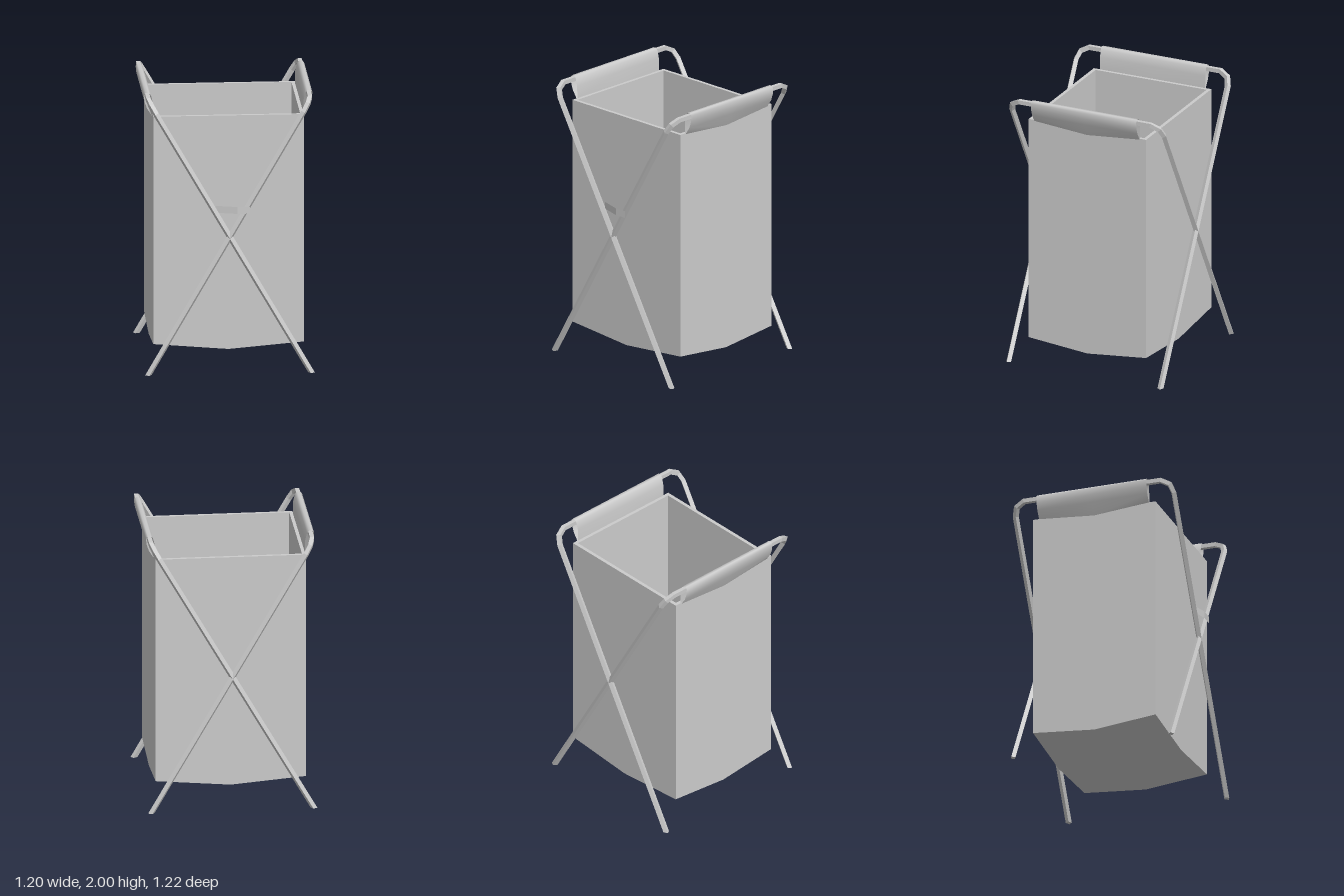
import * as THREE from 'three';

const grey = (flat, side = THREE.FrontSide) =>
  new THREE.MeshStandardMaterial({ color: 0xcccccc, flatShading: flat, side });

// Skin a list of equally long rings of Vector3, closing each ring if asked
function loft(rings, closed) {
  const n = rings[0].length, index = [];
  for (let i = 0; i < rings.length - 1; i++) {
    for (let k = 0; k < (closed ? n : n - 1); k++) {
      const a = i * n + k, b = i * n + (k + 1) % n;
      index.push(a, a + n, b, b, a + n, b + n);
    }
  }
  const g = new THREE.BufferGeometry().setFromPoints(rings.flat());
  g.setIndex(index);
  return g;
}

function part(name, geometry, material) {
  if (material.flatShading) geometry = geometry.toNonIndexed();
  geometry.computeVertexNormals();
  const mesh = new THREE.Mesh(geometry, material);
  mesh.name = name;
  return mesh;
}

// Leaning U-shaped frame: square rod swept up the front leg, over, and down the back leg
function frameGeometry() {
  const foot = new THREE.Vector3(-0.574, 0, 0);
  const lean = Math.atan2(1.142, 1.975), c = Math.cos(lean), s = Math.sin(lean);
  const up = new THREE.Vector3(s, c, 0), normal = new THREE.Vector3(c, -s, 0);
  const half = [[0, 0.59], [1.89, 0.59], [1.945, 0.57], [1.975, 0.51]];
  const path = [...half, ...half.map(([y, z]) => [y, -z]).reverse()]
    .map(([y, z]) => new THREE.Vector2(y / c, z));
  const outs = path.slice(1).map((p, i) => {
    const t = p.clone().sub(path[i]).normalize();
    return new THREE.Vector2(-t.y, t.x);
  });
  const rings = path.map((p, i) => {
    const o1 = outs[Math.max(i - 1, 0)], o2 = outs[Math.min(i, outs.length - 1)];
    const miter = o1.clone().add(o2).divideScalar(1 + o1.dot(o2));
    const end = i === 0 || i === path.length - 1;
    return [0, 1, 2, 3].map(k => {
      const a = lean + Math.PI / 4 + k * Math.PI / 2, r = 0.03 / Math.SQRT2;
      const out = miter.clone().multiplyScalar(r * Math.sin(a)).add(p);
      const v = foot.clone().addScaledVector(up, out.x).addScaledVector(normal, r * Math.cos(a));
      v.z = out.y;
      if (end) v.addScaledVector(up, -v.y / c); // feet cut level with the floor
      return v;
    });
  });
  // cap both feet
  const cap = z => Array.from({ length: 4 }, () => new THREE.Vector3(foot.x, 0, z));
  return loft([cap(0.59), ...rings, cap(-0.59)], true);
}

// Open-topped bag with thick walls and a sagging floor
function bagGeometry() {
  const around = [[1, 0], [1, 1], [0, 1], [-1, 1], [-1, 0], [-1, -1], [0, -1], [1, -1]];
  const ring = (hx, hz, y, sag) => around.map(([x, z]) =>
    new THREE.Vector3(x * hx, y + (sag && x && z ? 0.045 : 0), z * hz));
  return loft([
    ring(0, 0, 0.145, false),
    ring(0.53, 0.457, 0.145, true),
    ring(0.53, 0.457, 1.84, false),
    ring(0.505, 0.432, 1.84, false),
    ring(0.505, 0.432, 0.165, true),
    ring(0, 0, 0.165, false),
  ], true);
}

// Cloth loop over the top bar, hanging lower in the middle
function slingGeometry() {
  const profile = [[0.528, 1.836], [0.53, 1.93], [0.543, 1.982], [0.558, 2], [0.58, 2],
    [0.593, 1.985], [0.589, 1.94], [0.572, 1.89], [0.536, 1.836]];
  return loft([-0.41, 0, 0.41].map(z => profile.map(([x, y], i) => {
    const edge = i === 0 || i === profile.length - 1;
    return new THREE.Vector3(x, y - (edge && z === 0 ? 0.036 : 0), z);
  })), false);
}

// Short ribbon tying the two front legs together
function strapGeometry() {
  const line = [[0.14, 0.612], [0.05, 0.614], [-0.1, 0.57]];
  return loft([1.165, 1.215].map(y => line.map(([x, z]) => new THREE.Vector3(x, y, z))), false);
}

export function createModel() {
  const model = new THREE.Group();
  model.name = 'foldingLaundryHamper';
  model.add(part('bag', bagGeometry(), grey(true)));
  for (const side of [1, -1]) {
    const half = new THREE.Group();
    half.name = side > 0 ? 'leftSide' : 'rightSide';
    half.add(part('crossFrame', frameGeometry(), grey(true)));
    half.add(part('sling', slingGeometry(), grey(false, THREE.DoubleSide)));
    half.scale.x = side;
    model.add(half);
  }
  model.add(part('strap', strapGeometry(), grey(true, THREE.DoubleSide)));
  return model;
}
